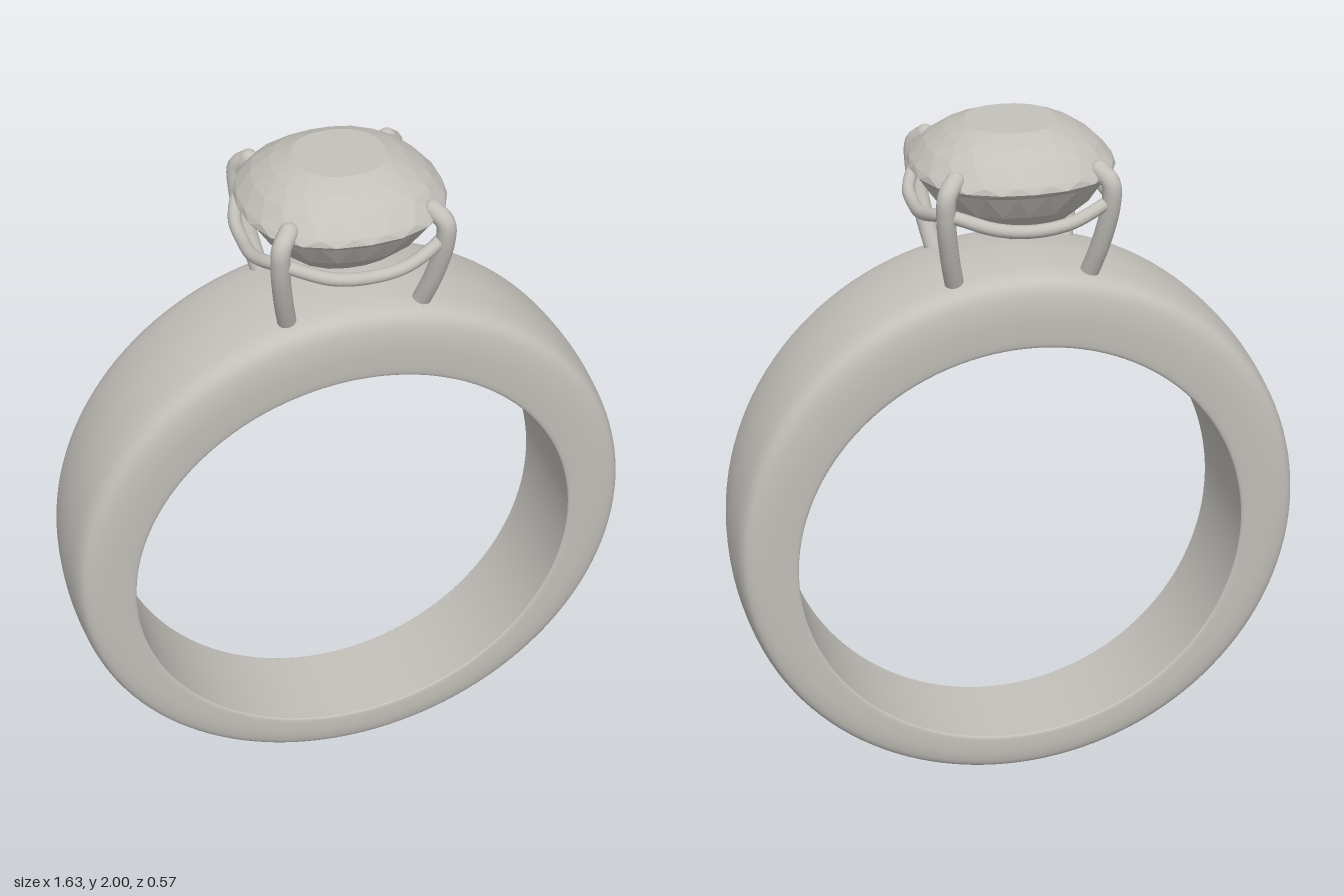
import * as THREE from 'three';

const metal = new THREE.MeshStandardMaterial({ color: 0xc4c1bb });
metal.name = 'pale grey metal';
const stone = new THREE.MeshStandardMaterial({ color: 0xc4c1bb, flatShading: true });
stone.name = 'pale grey stone';

const V = (x, y, z) => new THREE.Vector3(x, y, z);

function add(parent, geometry, material, name) {
  const mesh = new THREE.Mesh(geometry, material);
  mesh.name = name;
  parent.add(mesh);
  return mesh;
}

function build(positions, index) {
  const g = new THREE.BufferGeometry();
  g.setAttribute('position', new THREE.Float32BufferAttribute(positions, 3));
  g.setIndex(index);
  return g;
}

// Sweep a profile of [radial fraction, width fraction] around the finger hole.
// The hole sits lower than the outer circle, and the band widens upwards.
function bandStrip(profile) {
  const pos = [], idx = [], n = 128, m = profile.length;
  for (let i = 0; i < n; i++) {
    const a = (i / n) * Math.PI * 2;
    for (const [u, v] of profile) {
      const r = THREE.MathUtils.lerp(0.643, 0.815, u);
      const y = THREE.MathUtils.lerp(0.775, 0.82, u) + r * Math.cos(a);
      const half = 0.14 + ((y - 0.06) / 1.44) * 0.074;
      pos.push(r * Math.sin(a), y, v * half);
    }
    for (let j = 0; j < m - 1; j++) {
      const p = i * m + j, q = ((i + 1) % n) * m + j;
      idx.push(p, q, q + 1, p, q + 1, p + 1);
    }
  }
  const g = build(pos, idx);
  g.computeVertexNormals();
  return g;
}

// Faceted stone: rings of [y, radius], each turned half a step from the last
function gemGeometry(rings, sides) {
  const pos = [], idx = [];
  rings.forEach(([y, r], k) => {
    for (let i = 0; i < sides; i++) {
      const a = ((i + (k % 2) / 2) / sides) * Math.PI * 2;
      const s = r * (1 + 0.025 * (1 - Math.cos(4 * a)));
      pos.push(s * Math.sin(a), y, s * Math.cos(a));
    }
  });
  for (let k = 0; k < rings.length - 1; k++) {
    for (let i = 0; i < sides; i++) {
      const j = (i + 1) % sides, t = k * sides, b = t + sides;
      if (k % 2 === 0) idx.push(t + i, b + i, t + j, t + j, b + i, b + j);
      else idx.push(t + i, b + i, b + j, t + i, b + j, t + j);
    }
  }
  // table on top and point below
  const top = pos.length / 3, last = (rings.length - 1) * sides;
  pos.push(0, 2, 0, 0, 1.655, 0);
  for (let i = 0; i < sides; i++) {
    const j = (i + 1) % sides;
    idx.push(top, i, j, top + 1, last + j, last + i);
  }
  const g = build(pos, idx).toNonIndexed();
  g.computeVertexNormals();
  return g;
}

export function createModel() {
  const model = new THREE.Group();
  model.name = 'ring';

  // Band: domed outside with soft shoulders, plain inside
  const band = new THREE.Group();
  band.name = 'band';
  model.add(band);
  const half = [[0, 0.96], [0.05, 0.99], [0.3, 1], [0.5, 0.995], [0.68, 0.97],
    [0.8, 0.93], [0.88, 0.86], [0.94, 0.7], [0.98, 0.4]];
  const full = [...half, [1, 0], ...half.slice().reverse().map(([u, v]) => [u, -v])];
  const curve = new THREE.SplineCurve(full.map(([u, v]) => new THREE.Vector2(u, v)));
  add(band, bandStrip(curve.getPoints(54).map(p => [p.x, p.y])), metal, 'bandOutside');
  add(band, bandStrip([[0, -0.96], [0, 0], [0, 0.96]]), metal, 'bandInside');

  // Gemstone
  const rings = [[2, 0.122], [1.977, 0.178], [1.943, 0.23], [1.902, 0.27], [1.885, 0.277],
    [1.87, 0.262], [1.8, 0.215], [1.745, 0.155], [1.69, 0.053]];
  add(model, gemGeometry(rings, 20), stone, 'gemstone');

  // Four prongs with rounded ends bent over the stone
  for (const sx of [1, -1]) {
    for (const sz of [1, -1]) {
      const prong = new THREE.Group();
      prong.name = 'prong';
      model.add(prong);
      const path = new THREE.CatmullRomCurve3([
        [0.18, 1.57, 0.125], [0.207, 1.7, 0.178], [0.222, 1.82, 0.213],
        [0.219, 1.878, 0.217], [0.193, 1.908, 0.193],
      ].map(([x, y, z]) => V(x * sx, y, z * sz)));
      add(prong, new THREE.TubeGeometry(path, 32, 0.026, 14), metal, 'prongStem');
      add(prong, new THREE.SphereGeometry(0.026, 16, 12), metal, 'prongTip')
        .position.copy(path.getPoint(1));
    }
  }

  // Gallery wire: bows out and dips between the prongs
  const wire = [];
  for (let k = 0; k < 4; k++) {
    for (const [x, y, z] of [[-0.208, 1.818, 0.208], [-0.1, 1.792, 0.26], [0, 1.78, 0.264], [0.1, 1.792, 0.26]]) {
      wire.push(V(x, y, z).applyAxisAngle(V(0, 1, 0), (k * Math.PI) / 2));
    }
  }
  const loop = new THREE.CatmullRomCurve3(wire, true);
  add(model, new THREE.TubeGeometry(loop, 128, 0.018, 12, true), metal, 'galleryWire');

  return model;
}
